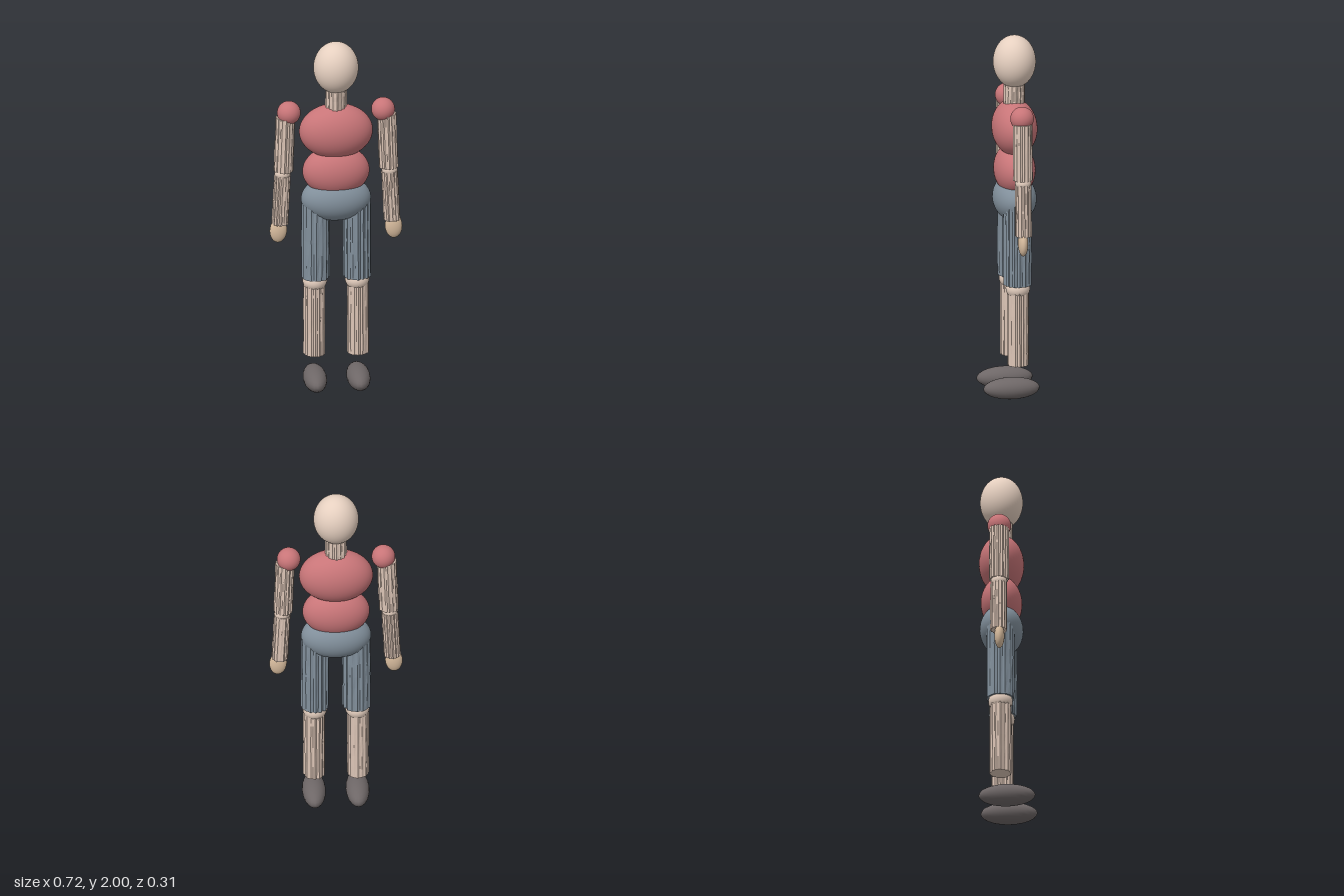
import * as THREE from 'three';

const Z = -0.034; // body centre line in depth

const paint = (color, flatShading = false) => new THREE.MeshStandardMaterial({ color, flatShading });

// small seeded noise in -1..1
const noise = (i, j, seed) => {
  const s = Math.sin(i * 12.99 + j * 78.23 + seed * 37.7) * 43758.5453;
  return 2 * (s - Math.floor(s)) - 1;
};

function ellipsoid(name, material, [x, y, z], [rx, ry, rz], tilt = 0, segments = 32) {
  const mesh = new THREE.Mesh(new THREE.SphereGeometry(1, segments, Math.round(segments * 0.7)), material);
  mesh.name = name;
  mesh.position.set(x, y, z);
  mesh.scale.set(rx, ry, rz);
  mesh.rotation.z = tilt;
  return mesh;
}

// Log-like limb: a cylinder whose side is split into irregular ridges
function ridgedLimb(name, material, [x0, y0], [x1, y1], radius, seed) {
  const sides = 32, rows = 6;
  const axis = new THREE.Vector3(x0 - x1, y0 - y1, 0);
  const length = axis.length();
  const geometry = new THREE.CylinderGeometry(radius, radius, length, sides, rows);
  const p = geometry.attributes.position;
  for (let k = 0; k < p.count; k++) {
    const x = p.getX(k), y = p.getY(k), z = p.getZ(k);
    if (Math.hypot(x, z) < radius * 0.5) continue; // cap centres stay put
    const i = (Math.round(Math.atan2(x, z) / (2 * Math.PI) * sides) + sides) % sides;
    const j = Math.round((y / length + 0.5) * rows);
    const groove = i % 2 ? 0.92 : 1;
    const f = groove + 0.035 * noise(i, 0, seed) + 0.02 * noise(i, j, seed);
    p.setXYZ(k, x * f, y, z * f);
  }
  geometry.computeVertexNormals();
  const mesh = new THREE.Mesh(geometry, material);
  mesh.name = name;
  mesh.position.set((x0 + x1) / 2, (y0 + y1) / 2, Z);
  mesh.quaternion.setFromUnitVectors(new THREE.Vector3(0, 1, 0), axis.normalize());
  return mesh;
}

export function createModel() {
  const model = new THREE.Group();
  model.name = 'jointedFigure';

  const skin = paint(0xe6d0c0);
  const bark = paint(0xdcc5b6, true);
  const palm = paint(0xd9bd9f);
  const shirt = paint(0xc87578);
  const trousers = paint(0x82909c);
  const trouserLeg = paint(0x82909c, true);
  const shoe = paint(0x6e6767);

  // Head, neck and the stacked torso
  model.add(
    ellipsoid('head', skin, [0, 1.856, Z], [0.122, 0.144, 0.116], 0, 48),
    ridgedLimb('neck', bark, [0, 1.76], [0, 1.59], 0.058, 1),
    ellipsoid('chest', shirt, [0, 1.487, Z], [0.2, 0.153, 0.122], 0, 48),
    ellipsoid('abdomen', shirt, [0, 1.255, Z], [0.182, 0.14, 0.112], 0, 48),
    ellipsoid('pelvis', trousers, [0, 1.095, Z], [0.19, 0.125, 0.118], 0, 48)
  );

  // Arms and legs on both sides
  for (const [side, s] of [['left', 1], ['right', -1]]) {
    const arm = new THREE.Group();
    arm.name = side + 'Arm';
    arm.add(
      ellipsoid('shoulder', shirt, [s * 0.256, 1.602, Z], [0.064, 0.064, 0.064]),
      ridgedLimb('upperArm', bark, [s * 0.275, 1.575], [s * 0.286, 1.265], 0.053, 2 + s),
      ellipsoid('elbow', skin, [s * 0.291, 1.252, Z], [0.044, 0.04, 0.044]),
      ridgedLimb('forearm', bark, [s * 0.291, 1.24], [s * 0.305, 0.957], 0.045, 5 + s),
      ellipsoid('hand', palm, [s * 0.313, 0.919, -0.03], [0.047, 0.07, 0.027], s * 0.05)
    );

    const leg = new THREE.Group();
    leg.name = side + 'Leg';
    leg.add(
      ridgedLimb('thigh', trouserLeg, [s * 0.112, 1.09], [s * 0.113, 0.637], 0.077, 8 + s),
      ellipsoid('knee', skin, [s * 0.115, 0.618, Z], [0.066, 0.06, 0.066]),
      ridgedLimb('shin', bark, [s * 0.117, 0.61], [s * 0.117, 0.19], 0.059, 11 + s),
      ellipsoid('foot', shoe, [s * 0.118, 0.06, 0.001], [0.064, 0.06, 0.154], 0, 20)
    );
    model.add(arm, leg);
  }
  return model;
}
